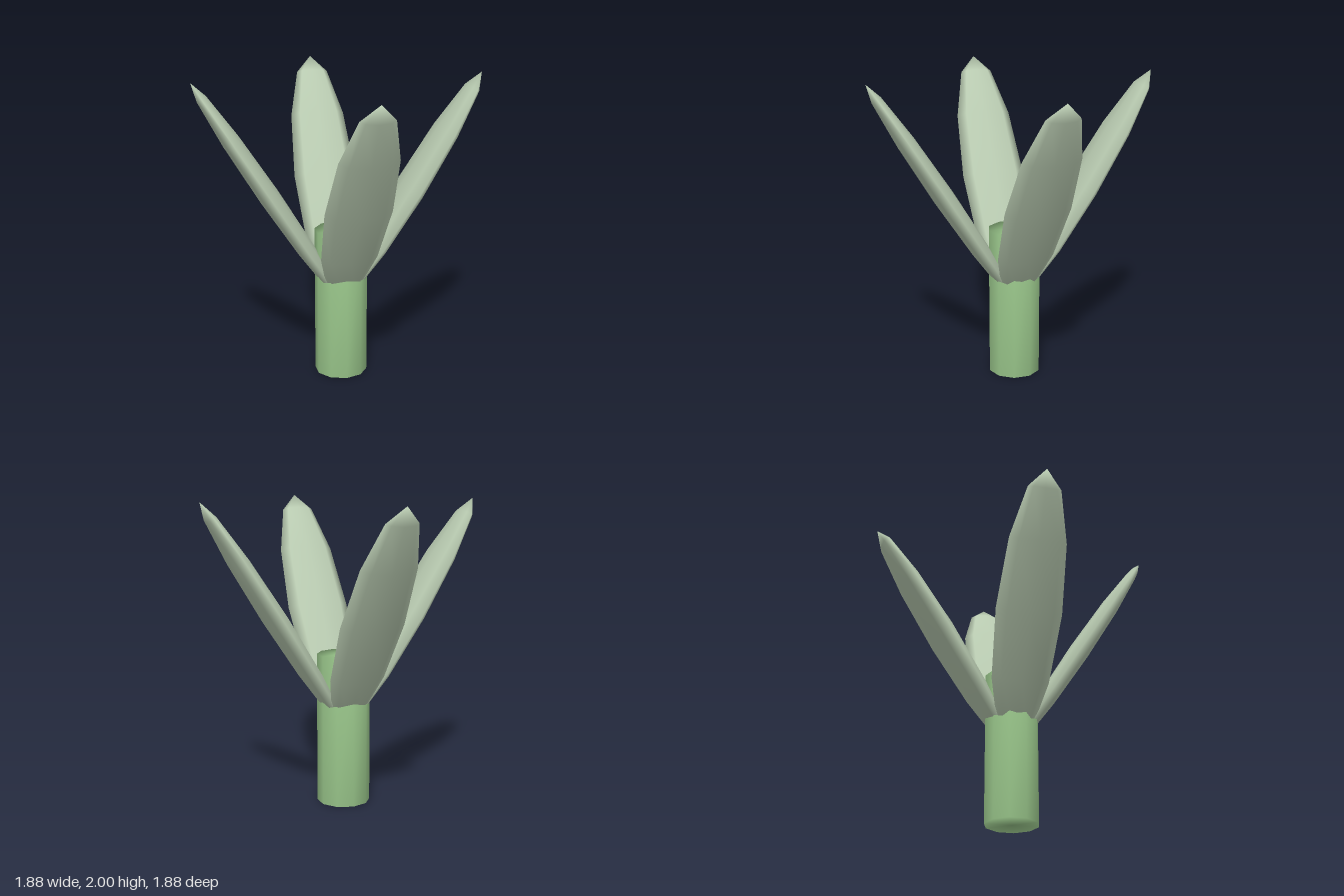
import * as THREE from 'three';
import { mergeVertices } from 'three/addons/utils/BufferGeometryUtils.js';

export function createModel() {
  const model = new THREE.Group();
  model.name = 'sprout';
  const stemMaterial = new THREE.MeshStandardMaterial({ color: 0x9bc88c });
  const leafMaterial = new THREE.MeshStandardMaterial({ color: 0xb9cbb1 });

  // Ten-sided stem, welded so the shading runs smoothly over its rims
  let stemGeometry = new THREE.CylinderGeometry(0.175, 0.175, 1, 10);
  stemGeometry.deleteAttribute('normal');
  stemGeometry.deleteAttribute('uv');
  stemGeometry = mergeVertices(stemGeometry, 1e-4);
  stemGeometry.computeVertexNormals();
  const stem = new THREE.Mesh(stemGeometry, stemMaterial);
  stem.name = 'stem';
  stem.position.y = 0.5;
  model.add(stem);

  // Leaf: a flattened ellipsoid leaning outwards from inside the stem
  const reach = 0.47, rise = 0.75;
  const leafGeometry = new THREE.SphereGeometry(1, 8, 6);
  leafGeometry.scale(0.215, Math.hypot(reach, rise), 0.068);
  leafGeometry.rotateX(Math.atan2(reach, rise));
  leafGeometry.translate(0, 1.25, reach);

  // Four leaves, one to each side
  ['frontLeaf', 'leftLeaf', 'backLeaf', 'rightLeaf'].forEach((name, i) => {
    const leaf = new THREE.Mesh(leafGeometry, leafMaterial);
    leaf.name = name;
    leaf.rotation.y = i * Math.PI / 2;
    model.add(leaf);
  });

  return model;
}
